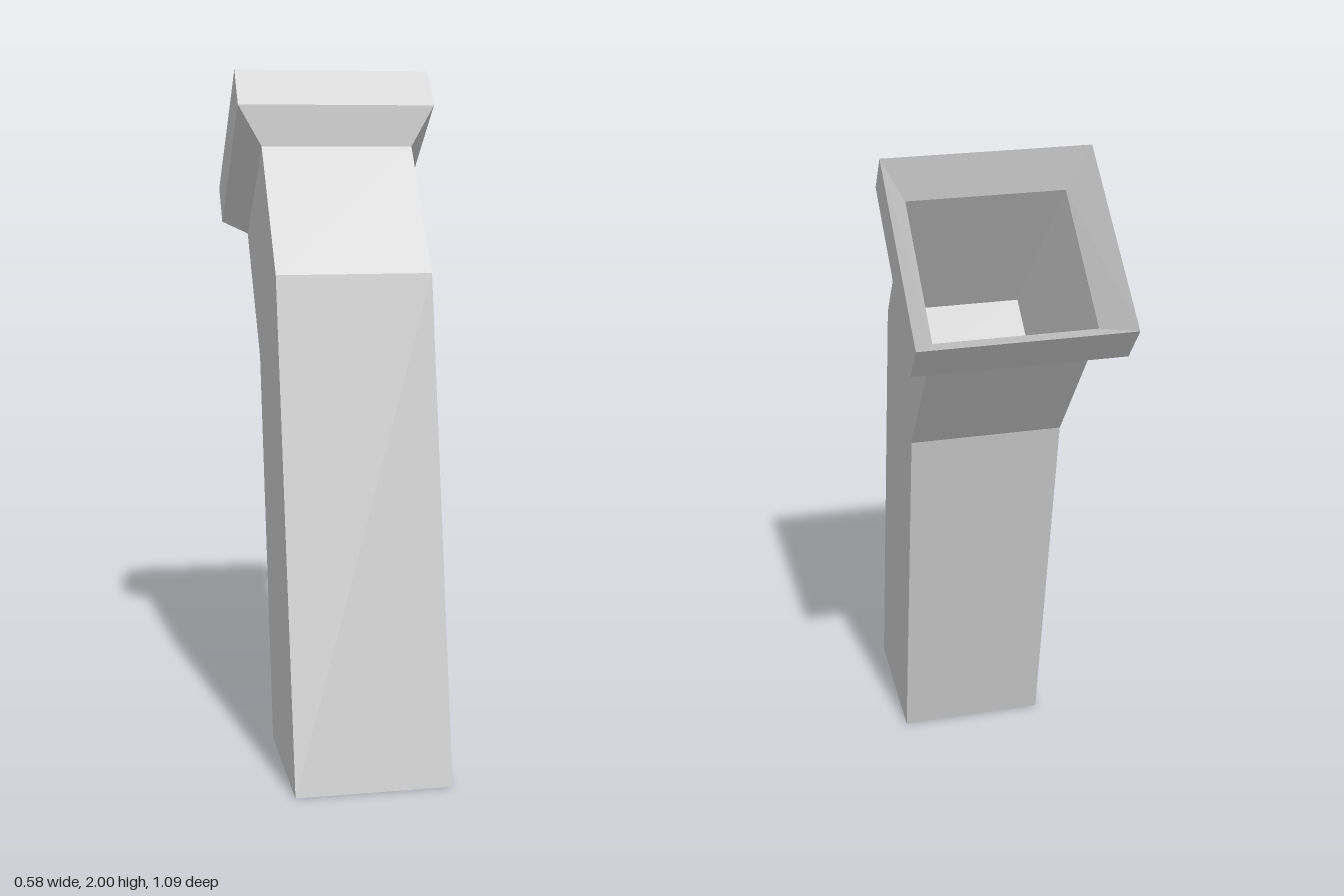
import * as THREE from 'three';

const material = new THREE.MeshStandardMaterial({ color: 0xcccccc, flatShading: true });

// Rectangular cross-section, tilted about x; counterclockwise seen from above
function ring(xMin, xMax, [frontY, frontZ], [backY, backZ]) {
  return [
    [xMin, frontY, frontZ], [xMax, frontY, frontZ],
    [xMax, backY, backZ], [xMin, backY, backZ],
  ];
}

// Flat-sided skin through a list of rings; upward lists face out, downward lists face in
function loft(name, rings, caps = []) {
  const positions = [];
  const quad = (a, b, c, d) => positions.push(...a, ...b, ...c, ...a, ...c, ...d);
  for (let r = 0; r < rings.length - 1; r++) {
    const a = rings[r], b = rings[r + 1];
    for (let i = 0; i < 4; i++) {
      const j = (i + 1) % 4;
      quad(a[i], a[j], b[j], b[i]);
    }
  }
  caps.forEach(cap => quad(...cap));
  const geometry = new THREE.BufferGeometry();
  geometry.setAttribute('position', new THREE.Float32BufferAttribute(positions, 3));
  geometry.computeVertexNormals();
  const mesh = new THREE.Mesh(geometry, material);
  mesh.name = name;
  return mesh;
}

export function createModel() {
  const foot = ring(-0.217, 0.23, [0, 0.547], [0, 0.103]);
  const bend = ring(-0.224, 0.223, [1.422, 0.273], [1.15, -0.078]);
  const neck = ring(-0.225, 0.223, [1.777, 0.003], [1.507, -0.35]);
  const flare = ring(-0.293, 0.291, [1.897, 0], [1.54, -0.465]);
  const rim = ring(-0.293, 0.291, [2, -0.08], [1.645, -0.547]);
  const throat = ring(-0.225, 0.223, [1.875, -0.07], [1.605, -0.415]);
  const floor = ring(-0.158, 0.158, [1.459, 0.185], [1.347, 0.033]);

  const group = new THREE.Group();
  group.name = 'bentPipe';
  group.add(
    // Leaning square shaft with one bend and a closed foot
    loft('shaft', [foot, bend, neck], [[...foot].reverse()]),
    // Flared collar around the mouth
    loft('collar', [neck, flare, rim]),
    // Tapering hollow inside the mouth, ending in a small floor
    loft('socket', [rim, throat, floor], [floor]),
  );
  return group;
}
